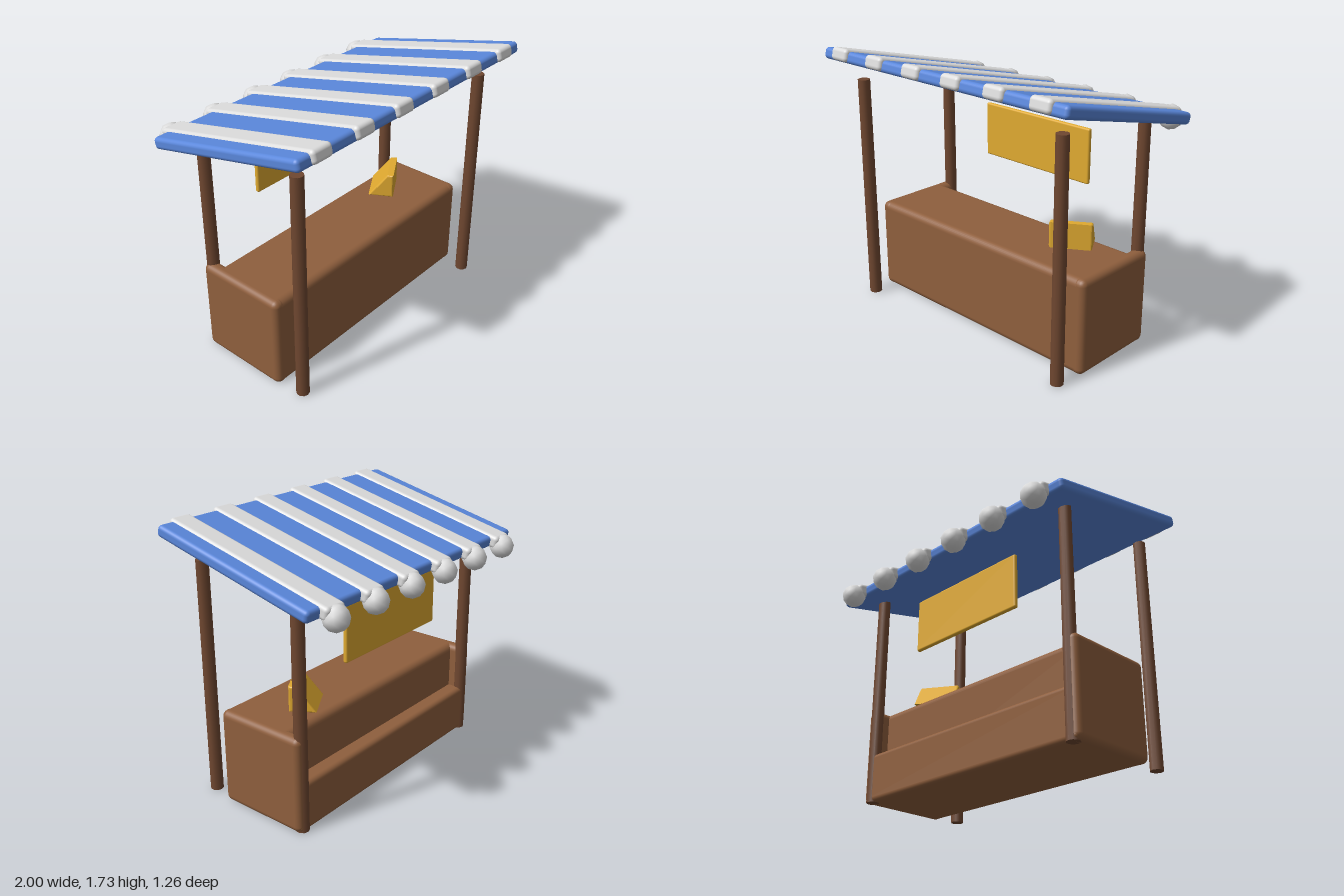
import * as THREE from 'three';
import { RoundedBoxGeometry } from 'three/addons/geometries/RoundedBoxGeometry.js';

const flat = (name, color) => {
  const m = new THREE.MeshStandardMaterial({ color });
  m.name = name;
  return m;
};

export function createModel() {
  const counterWood = flat('counter wood', 0x8f5f3d);
  const postWood = flat('post wood', 0x6f4730);
  const blue = flat('canopy blue', 0x5a87db);
  const white = flat('stripe white', 0xdcdcdc);
  const yellow = flat('yellow', 0xe0aa30);

  const stall = new THREE.Group();
  stall.name = 'marketStall';

  const add = (parent, name, geometry, material, x = 0, y = 0, z = 0) => {
    const mesh = new THREE.Mesh(geometry, material);
    mesh.name = name;
    mesh.position.set(x, y, z);
    parent.add(mesh);
    return mesh;
  };
  // Rounded box given by its minimum and maximum corners
  const block = (parent, name, min, max, radius, material) => {
    const size = max.map((v, i) => v - min[i]);
    const mid = max.map((v, i) => (v + min[i]) / 2);
    return add(parent, name, new RoundedBoxGeometry(...size, 3, radius), material, ...mid);
  };

  // Counter: front body, low shelf at the back and two end panels
  const counter = new THREE.Group();
  counter.name = 'counter';
  stall.add(counter);
  block(counter, 'counterBody', [-0.89, 0.005, -0.22], [0.89, 0.62, 0.295], 0.045, counterWood);
  block(counter, 'backShelf', [-0.88, 0.005, -0.32], [0.88, 0.32, 0.1], 0.03, counterWood);
  for (const s of [-1, 1]) {
    block(counter, 'endPanel', [s * 0.845 - 0.045, 0.005, -0.32],
      [s * 0.845 + 0.045, 0.62, 0.295], 0.04, counterWood);
  }

  // Four posts, the back pair reaching the canopy
  for (const s of [-1, 1]) {
    add(stall, 'frontPost', new THREE.CylinderGeometry(0.039, 0.041, 1.5, 10), postWood, s * 0.83, 0.76, 0.435);
    add(stall, 'backPost', new THREE.CylinderGeometry(0.039, 0.041, 1.46, 10), postWood, s * 0.83, 0.735, -0.29);
  }

  // Sloping canopy with stripes that end in hanging knobs
  const canopy = new THREE.Group();
  canopy.name = 'canopy';
  canopy.position.set(0, 1.5525, 0.047);
  canopy.rotation.x = -0.234;
  stall.add(canopy);
  block(canopy, 'canopyBoard', [-1, -0.037, -0.572], [1, 0.037, 0.572], 0.025, blue);
  for (let i = 0; i < 6; i++) {
    const x = -0.828 + i * 0.331;
    block(canopy, 'stripe', [x - 0.075, -0.032, -0.62], [x + 0.075, 0.05, 0.592], 0.025, white);
    add(canopy, 'stripeKnob', new THREE.IcosahedronGeometry(0.078, 1), white, x, -0.018, -0.623);
  }

  // Hanging sign board between the back posts
  block(stall, 'signBoard', [-0.44, 0.93, -0.305], [0.44, 1.29, -0.275], 0.012, yellow);

  // Wedge-shaped till, turned on the counter with its slope to the back
  const bevel = 0.012;
  const profile = new THREE.Shape([
    [-0.069, bevel], [0.069, bevel], [0.069, 0.153], [0.045, 0.153],
  ].map(([z, y]) => new THREE.Vector2(-z, y)));
  const width = 0.264 - 2 * bevel;
  const tillGeometry = new THREE.ExtrudeGeometry(profile, {
    depth: width, bevelEnabled: true, bevelThickness: bevel, bevelSize: bevel, bevelSegments: 3,
  });
  tillGeometry.translate(0, 0, -width / 2);
  tillGeometry.rotateY(Math.PI / 2);
  const till = add(stall, 'till', tillGeometry, yellow, 0.515, 0.63, -0.05);
  till.rotation.y = 0.56;

  return stall;
}
